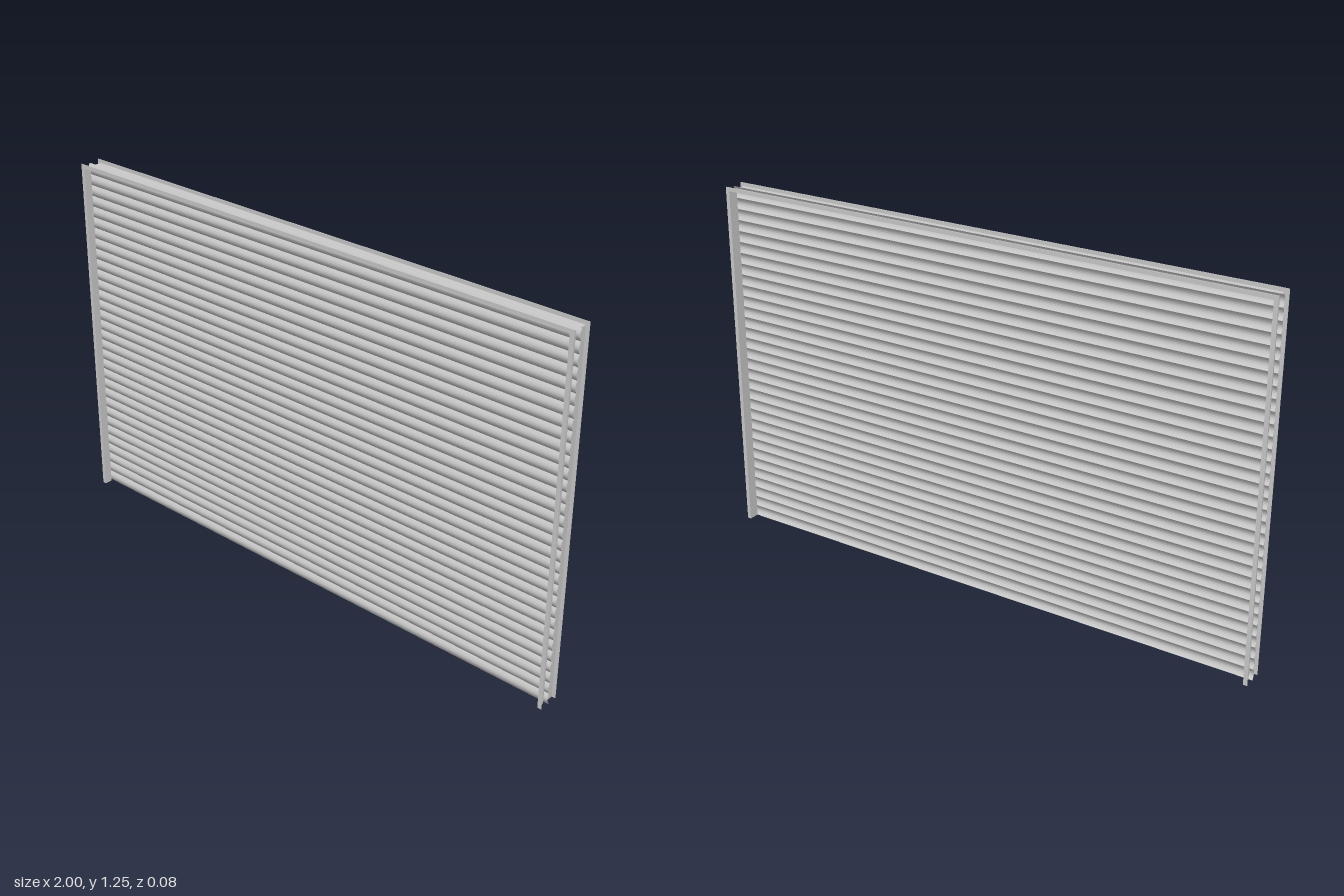
import * as THREE from 'three';

const HALF_W = 1, H = 1.25;          // overall half width and height
const LIP = 0.014;                   // width of the outward lips
const DEPTH = 0.0375;                // frame reach to front and back
const SHEET = 0.0015;                // sheet metal thickness
const SLATS = 32;

const material = new THREE.MeshStandardMaterial({
  color: 0xcccccc, side: THREE.DoubleSide, roughness: 0.7, metalness: 0.1,
});

function addBox(group, name, size, position) {
  const mesh = new THREE.Mesh(new THREE.BoxGeometry(...size), material);
  mesh.name = name;
  mesh.position.set(...position);
  group.add(mesh);
}

// U-shaped lip running up both sides and across the top
function lipGeometry() {
  const w = HALF_W, i = HALF_W - LIP, t = H - LIP;
  const corners = [[-w, 0], [-i, 0], [-i, t], [i, t], [i, 0], [w, 0], [w, H], [-w, H]];
  const shape = new THREE.Shape(corners.map(([x, y]) => new THREE.Vector2(x, y)));
  return new THREE.ExtrudeGeometry(shape, { depth: SHEET, bevelEnabled: false });
}

// Angle frame on one face of the curtain: webs plus outward lip
function frame(name, zInner, zOuter) {
  const group = new THREE.Group();
  group.name = name;
  const depth = Math.abs(zOuter - zInner), z = (zInner + zOuter) / 2;
  const inner = HALF_W - LIP, top = H - LIP;
  for (const s of [-1, 1]) {
    addBox(group, s > 0 ? 'leftJamb' : 'rightJamb',
      [SHEET, top, depth], [s * (inner + SHEET / 2), top / 2, z]);
  }
  addBox(group, 'headPlate', [2 * inner, SHEET, depth], [0, top + SHEET / 2, z]);
  const lip = new THREE.Mesh(lipGeometry(), material);
  lip.name = 'outerLip';
  lip.position.z = zOuter > 0 ? zOuter - SHEET : zOuter;
  group.add(lip);
  return group;
}

// One curved slat: bowed cross-section drawn in (z, y), run along x
function slatGeometry(height) {
  const steps = 8, bow = 0.0075, front = [], back = [];
  for (let k = 0; k <= steps; k++) {
    const t = k / steps, z = bow * Math.sin(Math.PI * t);
    front.push(new THREE.Vector2(-z - SHEET, t * height));
    back.unshift(new THREE.Vector2(-z, t * height));
  }
  const shape = new THREE.Shape([...front, ...back]);
  const geometry = new THREE.ExtrudeGeometry(shape, {
    depth: 2 * HALF_W, bevelEnabled: false,
  });
  geometry.translate(0, 0, -HALF_W);
  geometry.rotateY(Math.PI / 2);     // shape -x becomes +z, depth becomes x
  return geometry;
}

export function createModel() {
  const model = new THREE.Group();
  model.name = 'rollerShutter';

  // Curtain of interlocking slats
  const curtain = new THREE.Group();
  curtain.name = 'curtain';
  const pitch = (H - 0.006) / SLATS;
  const geometry = slatGeometry(pitch);
  for (let n = 0; n < SLATS; n++) {
    const slat = new THREE.Mesh(geometry, material);
    slat.name = 'slat';
    slat.position.set(0, n * pitch, 0);
    curtain.add(slat);
  }
  model.add(curtain);

  // Frames gripping the curtain from both faces
  model.add(frame('frontFrame', 0.0095, DEPTH));
  model.add(frame('backFrame', -0.0005, -DEPTH));
  return model;
}
